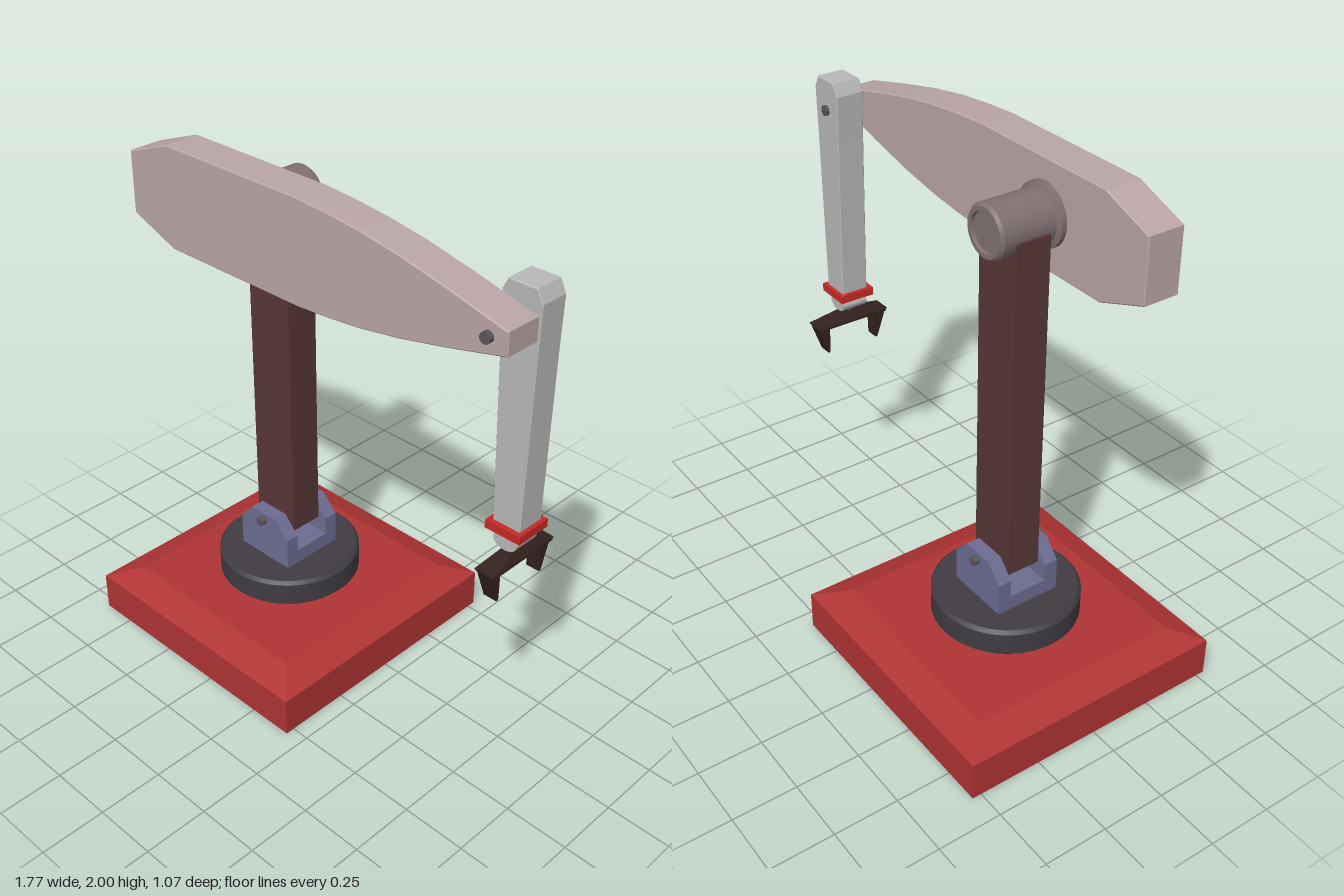
import * as THREE from 'three';

const COLORS = {
  red: 0xb03434, brightRed: 0xc62a26, black: 0x403c42, steelBlue: 0x6c6c92, brown: 0x573638,
  rose: 0xbaa5a5, taupe: 0x807070, silver: 0xb8b8b8, pin: 0x5a5558, claw: 0x33211f,
};
const mats = {};
for (const k in COLORS) mats[k] = new THREE.MeshStandardMaterial({ color: COLORS[k], flatShading: true });
for (const k of ['silver', 'pin', 'taupe', 'black']) {
  mats[k + 'Smooth'] = new THREE.MeshStandardMaterial({ color: COLORS[k] });
}

// Box with its top face scaled about the centre line
function taperedBox(w, h, d, sx = 1, sz = 1) {
  const g = new THREE.BoxGeometry(w, h, d);
  const p = g.attributes.position;
  for (let i = 0; i < p.count; i++) {
    if (p.getY(i) > 0) p.setXYZ(i, p.getX(i) * sx, p.getY(i), p.getZ(i) * sz);
  }
  g.computeVertexNormals();
  return g;
}

// Outline in the x-y plane pushed from z0 to z1
function plate(points, z0, z1, bevel = 0) {
  const shape = new THREE.Shape(points.map(([x, y]) => new THREE.Vector2(x, y)));
  const g = new THREE.ExtrudeGeometry(shape, {
    depth: z1 - z0 - 2 * bevel, bevelEnabled: bevel > 0,
    bevelSize: bevel, bevelThickness: bevel, bevelOffset: -bevel, bevelSegments: 1,
  });
  return g.translate(0, 0, z0 + bevel);
}

// Turned part; repeated points keep the edges sharp
function turned(profile, segments = 48) {
  const pts = [];
  profile.forEach(([r, y], i) => {
    pts.push(new THREE.Vector2(r, y));
    if (i > 0 && i < profile.length - 1) pts.push(new THREE.Vector2(r, y));
  });
  const g = new THREE.LatheGeometry(pts, segments).toNonIndexed();
  const sharp = new THREE.BufferGeometry();
  sharp.setAttribute('position', g.attributes.position);
  sharp.setAttribute('normal', g.attributes.normal);
  // Flat facets along the profile, smooth around the axis
  const p = g.attributes.position, n = sharp.attributes.normal;
  const a = new THREE.Vector3(), b = new THREE.Vector3(), c = new THREE.Vector3();
  for (let i = 0; i < p.count; i += 3) {
    a.fromBufferAttribute(p, i); b.fromBufferAttribute(p, i + 1); c.fromBufferAttribute(p, i + 2);
    const mid = a.clone().add(b).add(c);
    const face = b.sub(a).cross(c.sub(a)).normalize();
    const slope = Math.hypot(face.x, face.z);
    const sign = face.x * mid.x + face.z * mid.z < 0 ? -1 : 1;
    for (let k = i; k < i + 3; k++) {
      const r = Math.hypot(p.getX(k), p.getZ(k)) || 1;
      n.setXYZ(k, sign * slope * p.getX(k) / r, face.y, sign * slope * p.getZ(k) / r);
    }
  }
  return sharp;
}

export function createModel() {
  const model = new THREE.Group();
  const X = -0.355; // column axis
  const E = 0.804;  // elbow axis
  const W = 0.055;  // wrist depth

  function add(name, geometry, mat, x = 0, y = 0, z = 0, parent = model) {
    const m = new THREE.Mesh(geometry, mats[mat]);
    m.name = name;
    m.position.set(x, y, z);
    parent.add(m);
    return m;
  }
  function pinZ(name, r, x, y, z0, z1) {
    const g = new THREE.CylinderGeometry(r, r, z1 - z0, 20).rotateX(Math.PI / 2);
    return add(name, g, 'pinSmooth', x, y, (z0 + z1) / 2);
  }

  // Base with sloped upper edge
  add('baseBlock', new THREE.BoxGeometry(1.07, 0.155, 1.07), 'red', X, 0.0775, 0);
  add('baseTop', taperedBox(1.07, 0.045, 1.07, 0.79, 0.79), 'red', X, 0.1775, 0);

  // Turntable
  add('turntableAxle', new THREE.CylinderGeometry(0.032, 0.032, 0.06, 24), 'silverSmooth', X, 0.21, 0);
  add('turntable', turned([[0, 0.22], [0.27, 0.22], [0.28, 0.23], [0.28, 0.317], [0.267, 0.33], [0, 0.33]]),
    'blackSmooth', X, 0, 0);

  // Shoulder bracket: floor and two cheeks
  const bracket = new THREE.Group();
  bracket.name = 'bracket';
  model.add(bracket);
  add('bracketFloor', new THREE.BoxGeometry(0.26, 0.06, 0.16), 'steelBlue', X, 0.358, 0, bracket);
  const cheek = [[-0.13, 0.328], [0.13, 0.328], [0.13, 0.46], [0.065, 0.53], [-0.065, 0.53], [-0.13, 0.46]];
  for (const s of [-1, 1]) {
    add('bracketCheek', plate(cheek, -0.0275, 0.0275), 'steelBlue', X, 0, s * 0.105, bracket);
  }
  pinZ('bracketPin', 0.017, X, 0.5, -0.157, 0.157);

  // Column with bevelled long edges
  const column = plate([[-0.1, -0.067], [0.1, -0.067], [0.1, 0.067], [-0.1, 0.067]]
    .map(([x, y]) => [x, y]), 0, 1.35, 0.012).rotateX(-Math.PI / 2);
  add('column', column, 'brown', X, 0.45, 0);

  // Shoulder motor with flange against the arm
  const motor = turned([[0, -0.112], [0.07, -0.112], [0.072, -0.124], [0.088, -0.124], [0.097, -0.113],
    [0.097, 0.09], [0.115, 0.098], [0.115, 0.12], [0, 0.12]]).rotateX(Math.PI / 2);
  add('shoulderMotor', motor, 'taupeSmooth', X, 1.808, 0);

  // Upper arm
  const upper = [[-0.64, 2.0], [0, 2.0], [0.14, 1.99], [0.28, 1.975], [0.45, 1.947], [0.65, 1.903], [0.877, 1.847]];
  const lower = upper.map(([x, y]) => [x, 3.61 - y]).reverse();
  const outline = [[-0.845, 1.688], [-0.845, 1.925], ...upper, ...lower].reverse();
  add('upperArm', plate(outline, 0.118, 0.26, 0.004), 'rose');
  pinZ('elbowPin', 0.02, E, 1.808, -0.012, 0.28);

  // Forearm, tapering to the wrist
  const half = [[0.056, 1.045], [0.072, 1.7], [0.078, 1.88], [0.055, 1.926]];
  const forearm = [...half, ...half.map(([x, y]) => [-x, y]).reverse()];
  add('forearm', plate(forearm, 0, 0.112, 0.003), 'silver', E);

  // Wrist
  add('wristPlate', new THREE.BoxGeometry(0.145, 0.032, 0.147), 'brightRed', E, 1.034, 0.058);
  const roller = new THREE.CylinderGeometry(0.048, 0.048, 0.108, 24).rotateX(Math.PI / 2).scale(1, 0.68, 1);
  add('wristRoller', roller, 'silverSmooth', E, 0.986, 0.06);
  add('wristNeck', new THREE.CylinderGeometry(0.018, 0.018, 0.03, 16), 'pinSmooth', E, 0.945, W);

  // Gripper: sloped bridge and two pointed fingers
  const gripper = new THREE.Group();
  gripper.name = 'gripper';
  gripper.position.set(E, 0, W);
  model.add(gripper);
  add('gripperBridge', taperedBox(0.08, 0.035, 0.324, 0.5, 0.12), 'claw', 0, 0.929, 0, gripper);
  add('gripperPlate', new THREE.BoxGeometry(0.078, 0.012, 0.31), 'claw', 0, 0.907, 0, gripper);
  const finger = [[0.105, 0.912], [0.108, 0.787], [0.118, 0.787], [0.162, 0.912]];
  for (const s of [0, Math.PI]) {
    const f = add('finger', plate(finger, -0.027, 0.027), 'claw', 0, 0, 0, gripper);
    f.rotation.y = s + Math.PI / 2;
  }
  return model;
}
